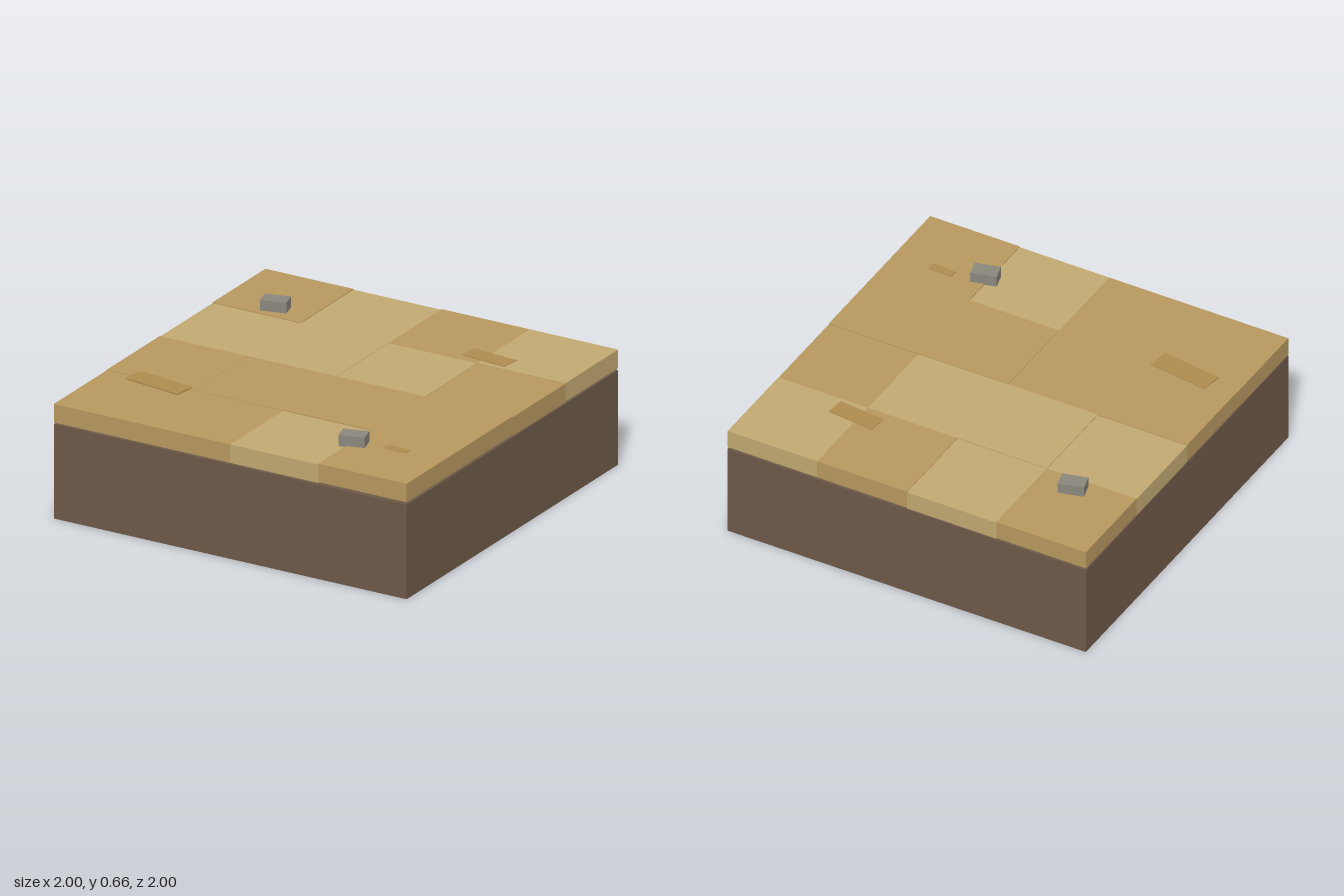
import * as THREE from 'three';

const mat = (color) => new THREE.MeshStandardMaterial({ color, flatShading: true });

export function createModel() {
  const model = new THREE.Group();
  const soil = mat(0x6e5a48), dark = mat(0xb8985f), light = mat(0xc2a971);
  const stain = mat(0xb08c50), stone = mat(0x8a877c);

  // Box placed by its centre in plan and its bottom and top heights
  const block = (name, material, x, z, w, d, bottom, top, turn = 0) => {
    const mesh = new THREE.Mesh(new THREE.BoxGeometry(w, top - bottom, d), material);
    mesh.position.set(x, (bottom + top) / 2, z);
    mesh.rotation.y = turn;
    mesh.name = name;
    model.add(mesh);
  };

  // Solid earth below
  block('soilBase', soil, 0, 0, 2, 2, 0, 0.497);

  // Four by four slabs, back row first: tone and slightly uneven top height
  const tones = ['DLDL', 'LLLD', 'DDDD', 'DDLD'];
  const tops = [
    [0.605, 0.601, 0.605, 0.605],
    [0.601, 0.606, 0.604, 0.602],
    [0.605, 0.604, 0.607, 0.607],
    [0.602, 0.602, 0.602, 0.607],
  ];
  tops.forEach((row, r) => row.forEach((top, c) => {
    block(`slab${r}${c}`, tones[r][c] === 'L' ? light : dark,
      -0.75 + c * 0.5, -0.75 + r * 0.5, 0.5, 0.5, top - 0.097, top);
  }));

  // Thin worn patches: x, z, width, depth, turn
  [
    [-0.695, 0.515, 0.325, 0.115, -0.14],
    [0.517, -0.585, 0.255, 0.1, -0.1],
    [0.732, 0.645, 0.13, 0.046, -0.05],
  ].forEach(([x, z, w, d, turn], i) => block(`wornPatch${i}`, stain, x, z, w, d, 0.6, 0.609, turn));

  // Small loose stones
  [[-0.695, -0.588], [0.515, 0.69]].forEach(([x, z], i) =>
    block(`stone${i}`, stone, x, z, 0.133, 0.085, 0.6, 0.661, 0.26));

  return model;
}
